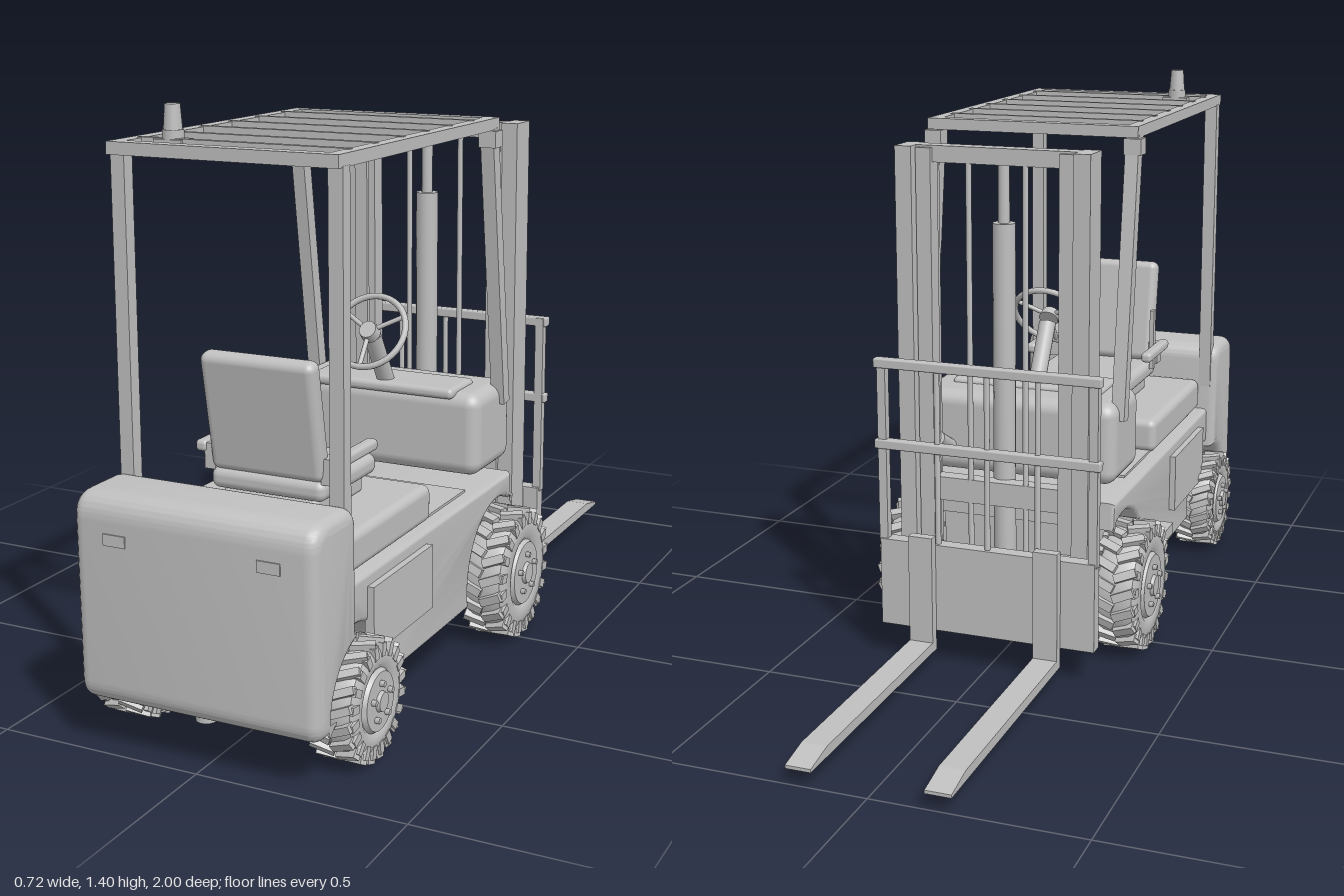
import * as THREE from 'three';
import { toCreasedNormals } from 'three/addons/utils/BufferGeometryUtils.js';
import { RoundedBoxGeometry } from 'three/addons/geometries/RoundedBoxGeometry.js';

const grey = new THREE.MeshStandardMaterial({ color: 0xc0c0c0 });
grey.name = 'plain grey';

function add(parent, name, geometry) {
  const mesh = new THREE.Mesh(geometry, grey);
  mesh.name = name;
  parent.add(mesh);
  return mesh;
}

// Box given by its ranges on x, y and z, with optional rounded edges
function box(parent, name, [x0, x1], [y0, y1], [z0, z1], r = 0) {
  const s = [x1 - x0, y1 - y0, z1 - z0];
  const mesh = add(parent, name, r ? new RoundedBoxGeometry(...s, 4, r) : new THREE.BoxGeometry(...s));
  mesh.position.set((x0 + x1) / 2, (y0 + y1) / 2, (z0 + z1) / 2);
  return mesh;
}

// The same box on both sides
function pair(parent, name, [x0, x1], ys, zs, r = 0) {
  box(parent, name + 'Left', [x0, x1], ys, zs, r);
  box(parent, name + 'Right', [-x1, -x0], ys, zs, r);
}

// Square or round bar between two points
function bar(parent, name, a, b, w, d = 0) {
  const p = new THREE.Vector3(...a), q = new THREE.Vector3(...b), len = p.distanceTo(q);
  const mesh = add(parent, name, d ? new THREE.BoxGeometry(w, len, d) : new THREE.CylinderGeometry(w, w, len, 16));
  mesh.position.copy(p).lerp(q, 0.5);
  mesh.quaternion.setFromUnitVectors(new THREE.Vector3(0, 1, 0), q.sub(p).normalize());
  return mesh;
}

// Side profile drawn in z and y, extruded across x
function sideExtrude(shape, halfWidth, bevel, segments) {
  const g = new THREE.ExtrudeGeometry(shape, {
    depth: 2 * (halfWidth - bevel), bevelEnabled: true, bevelSize: bevel, bevelThickness: bevel,
    bevelOffset: -bevel, bevelSegments: segments, curveSegments: 20,
  });
  g.translate(0, 0, bevel - halfWidth).rotateY(-Math.PI / 2);
  return toCreasedNormals(g, 0.6);
}

// Treaded wheel whose outer face looks along +x
function wheel(name, r, w, rim) {
  const g = new THREE.Group(), h = w / 2, t = r - 0.012;
  g.name = name;
  const profile = [
    [0.001, -h + 0.01], [rim, -h + 0.01], [rim + 0.01, -h], [t - 0.022, -h], [t - 0.006, -h + 0.01], [t, -h + 0.025],
    [t, h - 0.025], [t - 0.006, h - 0.01], [t - 0.022, h], [rim + 0.01, h], [rim, h - 0.006], [rim - 0.006, h + 0.004], [0.001, h + 0.004],
  ].map(([x, y]) => new THREE.Vector2(x, y));
  add(g, 'tyreAndRim', toCreasedNormals(new THREE.LatheGeometry(profile, 48).rotateZ(-Math.PI / 2), 0.6));
  // Chevron lugs
  const count = 20;
  for (let i = 0; i < count * 2; i++) {
    const side = i % 2 ? 1 : -1;
    const holder = new THREE.Group();
    holder.name = 'lugHolder';
    holder.rotation.x = (i / (count * 2)) * Math.PI * 2;
    const lug = add(holder, 'lug', new THREE.BoxGeometry(w * 0.52, 0.022, r * 0.13));
    lug.position.set(side * w * 0.24, r - 0.011, 0);
    lug.rotation.y = side * 0.4;
    const shoulder = add(holder, 'shoulderLug', new THREE.BoxGeometry(0.014, 0.03, r * 0.13));
    shoulder.position.set(side * (h - 0.005), r - 0.025, side * -0.006);
    g.add(holder);
  }
  // Hub and bolts
  const hub = add(g, 'hub', new THREE.CylinderGeometry(rim * 0.3, rim * 0.34, 0.012, 24).rotateZ(-Math.PI / 2));
  hub.position.x = h + 0.007;
  for (let i = 0; i < 5; i++) {
    const a = (i / 5) * Math.PI * 2;
    const bolt = add(g, 'bolt', new THREE.CylinderGeometry(0.007, 0.007, 0.014, 6).rotateZ(-Math.PI / 2));
    bolt.position.set(h + 0.008, Math.cos(a) * rim * 0.58, Math.sin(a) * rim * 0.58);
  }
  return g;
}

function buildChassis(g) {
  // Body with wheel arches
  const body = new THREE.Shape();
  body.moveTo(-0.11, 0.4);
  body.lineTo(-0.11, 0.329);
  body.absarc(-0.025, 0.165, 0.185, Math.atan2(0.164, -0.085), Math.atan2(-0.045, 0.179), true);
  body.lineTo(0.616, 0.12);
  body.absarc(0.775, 0.14, 0.16, Math.PI * 1.04, Math.atan2(0.15, 0.055), true);
  body.lineTo(0.83, 0.4);
  add(g, 'body', sideExtrude(body, 0.268, 0.012, 3));
  box(g, 'underbody', [-0.19, 0.19], [0.125, 0.39], [-0.1, 0.9]);
  pair(g, 'sidePanel', [0.262, 0.284], [0.215, 0.37], [0.41, 0.715]);
  box(g, 'step', [-0.31, -0.26], [0.19, 0.22], [0.12, 0.3]);
  box(g, 'floorPlate', [-0.23, 0.23], [0.395, 0.406], [0.1, 0.34]);
  // Counterweight
  const cw = new THREE.Shape();
  cw.moveTo(0.81, 0.54);
  cw.quadraticCurveTo(0.81, 0.59, 0.86, 0.59);
  cw.lineTo(0.94, 0.59);
  cw.quadraticCurveTo(1, 0.59, 1, 0.53);
  cw.lineTo(1, 0.165);
  cw.quadraticCurveTo(1, 0.115, 0.955, 0.115);
  cw.lineTo(0.921, 0.115);
  cw.absarc(0.775, 0.14, 0.148, -0.17, Math.acos(0.035 / 0.148), false);
  add(g, 'counterweight', sideExtrude(cw, 0.297, 0.03, 5));
  pair(g, 'lamp', [0.16, 0.215], [0.482, 0.508], [0.996, 1.003]);
  bar(g, 'towPin', [0, 0.105, 0.95], [0, 0.3, 0.95], 0.025);
  // Seat base and dashboard
  box(g, 'engineCover', [-0.245, 0.245], [0.4, 0.49], [0.33, 0.81], 0.02);
  box(g, 'dashboard', [-0.265, 0.265], [0.44, 0.65], [-0.11, 0.11], 0.035);
  box(g, 'dashTop', [-0.2, 0.2], [0.635, 0.662], [-0.02, 0.12], 0.012);
  // Wheels
  for (const s of [1, -1]) {
    const side = s > 0 ? 'Left' : 'Right';
    const a = wheel('mastWheel' + side, 0.165, 0.11, 0.085);
    a.position.set(s * 0.288, 0.165, -0.025);
    const b = wheel('steerWheel' + side, 0.138, 0.11, 0.072);
    b.position.set(s * 0.27, 0.139, 0.775);
    if (s < 0) a.rotation.y = b.rotation.y = Math.PI;
    g.add(a, b);
  }
  bar(g, 'mastAxle', [-0.25, 0.165, -0.025], [0.25, 0.165, -0.025], 0.045);
  bar(g, 'steerAxle', [-0.25, 0.139, 0.775], [0.25, 0.139, 0.775], 0.035);
}

function buildCab(g) {
  // Seat
  box(g, 'seatPedestal', [-0.12, 0.12], [0.485, 0.53], [0.44, 0.67], 0.012);
  box(g, 'seatCushion', [-0.145, 0.145], [0.528, 0.577], [0.415, 0.685], 0.02);
  box(g, 'backrest', [-0.143, 0.143], [0.572, 0.855], [0.657, 0.705], 0.02).rotation.x = 0.17;
  pair(g, 'armrest', [0.155, 0.185], [0.608, 0.635], [0.49, 0.68], 0.01);
  pair(g, 'armrestBracket', [0.135, 0.162], [0.57, 0.63], [0.635, 0.675]);
  bar(g, 'sideLever', [-0.152, 0.56, 0.62], [-0.152, 0.73, 0.62], 0.012, 0.02);
  // Steering
  bar(g, 'steeringColumn', [0, 0.64, 0.065], [0, 0.785, 0.15], 0.022);
  const wheelGroup = new THREE.Group();
  wheelGroup.name = 'steeringWheel';
  wheelGroup.position.set(0, 0.8, 0.168);
  wheelGroup.rotation.x = -0.62;
  add(wheelGroup, 'steeringRim', new THREE.TorusGeometry(0.095, 0.008, 10, 40));
  add(wheelGroup, 'steeringHub', new THREE.CylinderGeometry(0.022, 0.026, 0.024, 20).rotateX(Math.PI / 2));
  for (let i = 0; i < 3; i++) {
    const a = -Math.PI / 2 + (i * Math.PI * 2) / 3;
    bar(wheelGroup, 'spoke', [0, 0, 0], [Math.cos(a) * 0.093, Math.sin(a) * 0.093, 0], 0.006);
  }
  g.add(wheelGroup);
  // Overhead guard
  for (const s of [1, -1]) {
    bar(g, 'counterweightPost', [s * 0.26, 0.47, 0.823], [s * 0.26, 1.295, 0.817], 0.034, 0.032);
    bar(g, 'mastPost', [s * 0.26, 0.6, -0.05], [s * 0.26, 1.295, 0.044], 0.034, 0.036);
    box(g, 'postClamp', [s * 0.262 - 0.022, s * 0.262 + 0.022], [1.25, 1.29], [0.018, 0.062]);
    box(g, 'roofRail', [s * 0.26 - 0.016, s * 0.26 + 0.016], [1.292, 1.32], [0.02, 0.85]);
  }
  for (const z of [0.036, 0.834]) box(g, 'roofEnd', [-0.26, 0.26], [1.292, 1.32], [z - 0.016, z + 0.016]);
  for (const z of [0.13, 0.255, 0.38, 0.505, 0.635, 0.755]) box(g, 'roofBar', [-0.255, 0.255], [1.3, 1.322], [z - 0.008, z + 0.008]);
  // Beacon
  box(g, 'beaconMount', [-0.21, -0.14], [1.305, 1.32], [0.72, 0.77]);
  bar(g, 'beaconBase', [-0.175, 1.32, 0.745], [-0.175, 1.34, 0.745], 0.024);
  add(g, 'beaconLens', new THREE.CylinderGeometry(0.017, 0.021, 0.055, 20)).position.set(-0.175, 1.367, 0.745);
}

function buildMast(g) {
  // Outer channels and inner rails
  pair(g, 'outerRail', [0.203, 0.245], [0.065, 1.285], [-0.255, -0.172]);
  pair(g, 'innerRail', [0.162, 0.2], [0.075, 1.28], [-0.235, -0.19]);
  pair(g, 'railFlange', [0.17, 0.205], [0.1, 1.24], [-0.172, -0.16]);
  for (const [y0, y1] of [[1.245, 1.285], [0.065, 0.14], [0.4, 0.46]])
    box(g, 'mastCrossMember', [-0.205, 0.205], [y0, y1], [-0.222, -0.182]);
  // Lift and tilt cylinders
  bar(g, 'liftCylinder', [0, 0.1, -0.168], [0, 1.1, -0.168], 0.028);
  bar(g, 'liftRod', [0, 1.1, -0.168], [0, 1.25, -0.168], 0.014);
  for (const s of [1, -1]) {
    bar(g, 'liftChain', [s * 0.072, 0.2, -0.215], [s * 0.072, 1.28, -0.215], 0.007);
    bar(g, 'tiltCylinder', [s * 0.17, 0.49, -0.08], [s * 0.17, 0.55, -0.19], 0.018);
  }
  // Carriage and load guard
  box(g, 'carriagePlate', [-0.28, 0.28], [0.085, 0.31], [-0.305, -0.268]);
  pair(g, 'carriageRoller', [0.14, 0.2], [0.1, 0.3], [-0.27, -0.235]);
  for (const y of [0.76, 0.555]) box(g, 'guardRail', [-0.292, 0.292], [y - 0.012, y + 0.012], [-0.305, -0.28], 0.004);
  pair(g, 'guardPost', [0.262, 0.284], [0.3, 0.77], [-0.3, -0.278]);
  for (const x of [-0.13, 0, 0.13]) bar(g, 'guardBar', [x, 0.3, -0.29], [x, 0.76, -0.29], 0.007);
  // Forks with tapered tips
  const fork = new THREE.Shape([
    [-0.305, 0.335], [-0.305, 0.035], [-1, 0.035], [-1, 0.043], [-0.92, 0.06], [-0.33, 0.06], [-0.33, 0.335],
  ].map(([z, y]) => new THREE.Vector2(z, y)));
  for (const s of [1, -1]) {
    const geo = new THREE.ExtrudeGeometry(fork, { depth: 0.062, bevelEnabled: false });
    geo.translate(0, 0, -0.031).rotateY(-Math.PI / 2);
    add(g, s > 0 ? 'forkLeft' : 'forkRight', geo).position.x = s * 0.163;
  }
}

export function createModel() {
  const model = new THREE.Group();
  model.name = 'forklift';
  for (const [name, build] of [['chassis', buildChassis], ['cab', buildCab], ['mast', buildMast]]) {
    const g = new THREE.Group();
    g.name = name;
    build(g);
    model.add(g);
  }
  return model;
}
